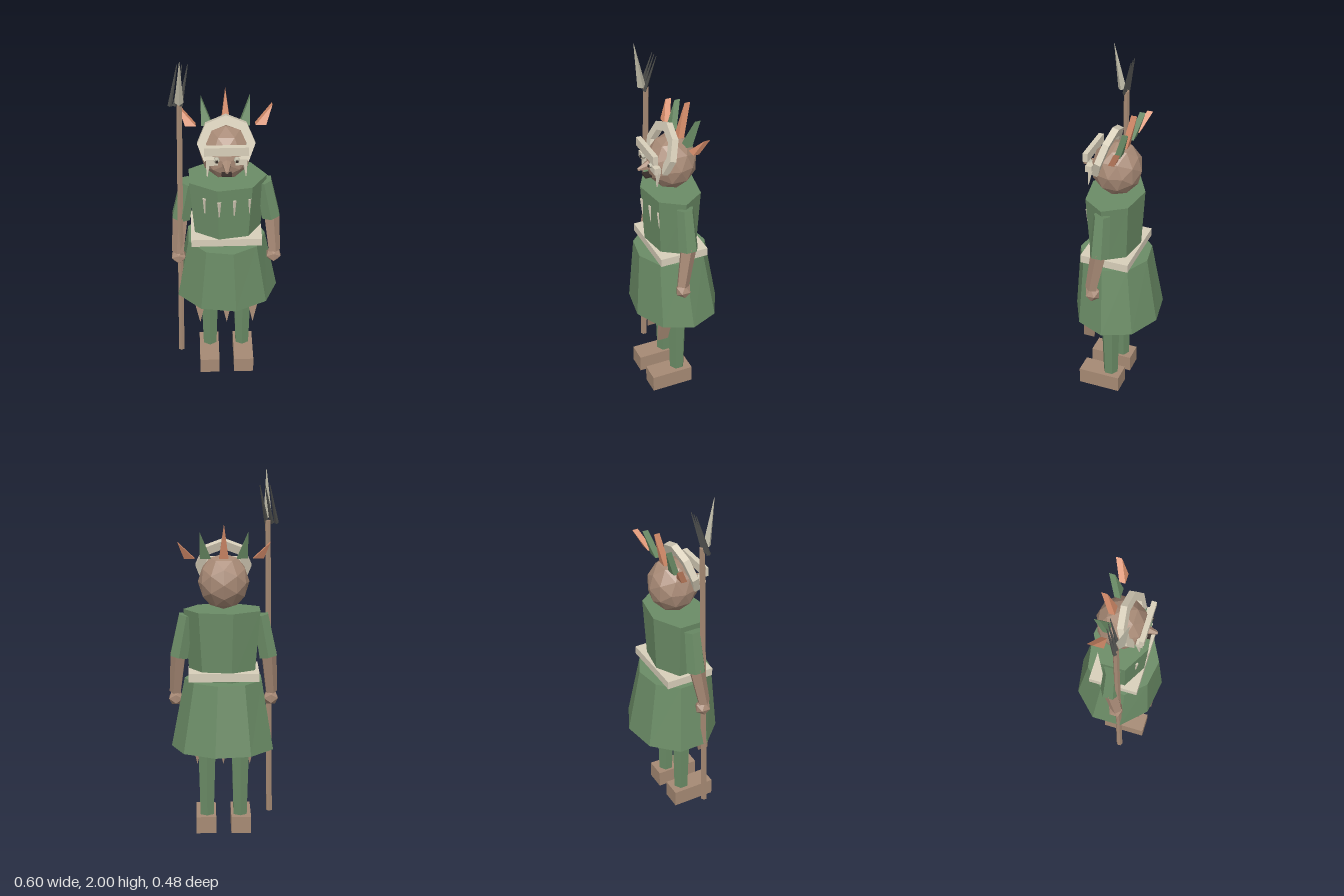
import * as THREE from 'three';

const mat = (name, color) => Object.assign(new THREE.MeshStandardMaterial({ color }), { name });

export function createModel() {
  const model = new THREE.Group();
  model.name = 'tribalGuard';
  const green = mat('clothGreen', 0x6b8c66);
  const skin = mat('skinBrown', 0xa88a76);
  const leather = mat('leatherBrown', 0xa68a74);
  const cream = mat('boneCream', 0xd8cfba);
  const orange = mat('featherOrange', 0xd98f6c);
  const iron = mat('darkIron', 0x4b4c4a);
  const blade = mat('bladeGrey', 0xbdb9a6);
  const dark = mat('mouthDark', 0x352c28);

  // Every part is faceted
  const add = (name, geo, material, pos = [0, 0, 0]) => {
    const g = geo.index ? geo.toNonIndexed() : geo;
    g.computeVertexNormals();
    const mesh = new THREE.Mesh(g, material);
    mesh.name = name;
    mesh.position.set(...pos);
    model.add(mesh);
    return mesh;
  };
  const box = (name, m, x0, x1, y0, y1, z0, z1) =>
    add(name, new THREE.BoxGeometry(x1 - x0, y1 - y0, z1 - z0), m,
      [(x0 + x1) / 2, (y0 + y1) / 2, (z0 + z1) / 2]);

  // Tapered rod from a to b
  const rod = (name, m, a, b, ra, rb, sides) => {
    const A = new THREE.Vector3(...a), B = new THREE.Vector3(...b);
    const dir = B.clone().sub(A);
    const mesh = add(name, new THREE.CylinderGeometry(rb, ra, dir.length(), sides), m,
      A.clone().add(B).multiplyScalar(0.5).toArray());
    mesh.quaternion.setFromUnitVectors(new THREE.Vector3(0, 1, 0), dir.normalize());
    return mesh;
  };

  // Triangular wedge, sheared from a level base to its tip
  const wedge = (name, m, base, tip, width, depth) => {
    const s = new THREE.Shape([
      new THREE.Vector2(base[0] - width / 2, base[1]),
      new THREE.Vector2(base[0] + width / 2, base[1]),
      new THREE.Vector2(tip[0], tip[1])]);
    const g = new THREE.ExtrudeGeometry(s, { depth, bevelEnabled: false });
    const p = g.attributes.position;
    for (let i = 0; i < p.count; i++) {
      const t = (p.getY(i) - base[1]) / (tip[1] - base[1]);
      p.setZ(i, p.getZ(i) - depth / 2 + base[2] + t * (tip[2] - base[2]));
    }
    return add(name, g, m);
  };

  // Elliptical garment section; a corner points to +x
  const garment = (name, sides, y0, y1, low, high) => {
    const g = new THREE.CylinderGeometry(1, 1, 1, sides, 1, false, Math.PI / 2);
    const p = g.attributes.position;
    for (let i = 0; i < p.count; i++) {
      const top = p.getY(i) > 0;
      const [rx, rz, cx, cz] = top ? high : low;
      p.setXYZ(i, p.getX(i) * rx + cx, top ? y1 : y0, p.getZ(i) * rz + cz);
    }
    add(name, g, green);
  };
  garment('skirt', 9, 0.5, 0.88, [0.285, 0.242, 0, 0], [0.215, 0.197, -0.003, 0.02]);
  garment('tunic', 7, 0.87, 1.262, [0.182, 0.13, 0, 0.02], [0.217, 0.153, 0, 0.02]);
  box('belt', cream, -0.19, 0.19, 0.89, 0.935, -0.118, 0.152);

  // Bone pendants on the chest
  for (const [x, z] of [[-0.115, 0.125], [-0.04, 0.163], [0.04, 0.15], [0.12, 0.135]])
    rod('chestBone', cream, [x, 1.19, z], [x, 1.09, z - 0.004], 0.011, 0.003, 4);

  // Hanging hide points below the skirt
  for (const x of [-0.148, 0, 0.145])
    wedge('hidePoint', leather, [x, 0.56, 0.105], [x, 0.355, 0.127], 0.09, 0.062);

  for (const s of [-1, 1]) {
    // Legs and feet
    rod('leg', green, [s * 0.092, 0.08, 0.018], [s * 0.092, 0.56, 0.018], 0.042, 0.057, 6);
    box('foot', leather, s * 0.097 - 0.055, s * 0.097 + 0.055, 0, 0.095, -0.05, 0.188);
    // Arms and hands
    rod('sleeve', green, [s * 0.2, 1.23, 0.02], [s * 0.242, 1.0, 0.02], 0.046, 0.055, 6);
    rod('forearm', skin, [s * 0.243, 1.02, 0.02], [s * 0.262, 0.79, 0.06], 0.045, 0.034, 5);
    add('hand', new THREE.IcosahedronGeometry(0.045, 0), skin, [s * 0.26, 0.757, 0.055]);
  }

  // Head and face
  add('head', new THREE.IcosahedronGeometry(1, 1).scale(0.138, 0.15, 0.137), skin, [0, 1.413, 0.012]);
  rod('nose', skin, [0, 1.415, 0.13], [0, 1.4, 0.2], 0.029, 0.008, 6);
  box('mouth', dark, -0.026, 0.026, 1.352, 1.36, 0.13, 0.168);
  box('browPlate', cream, -0.115, 0.113, 1.475, 1.525, 0.133, 0.16);
  for (const s of [-1, 1]) {
    box('cheekPlate', cream, s * 0.075 - 0.031, s * 0.075 + 0.031, 1.412, 1.448, 0.115, 0.15);
    add('eye', new THREE.IcosahedronGeometry(0.018, 0), blade, [s * 0.052, 1.443, 0.145]);
    add('pupil', new THREE.BoxGeometry(0.012, 0.012, 0.006), dark, [s * 0.052, 1.443, 0.162]);
    rod('cheekTusk', cream, [s * 0.094, 1.42, 0.125], [s * 0.1, 1.335, 0.135], 0.015, 0.003, 4);
  }

  // Arched headband, leaning back
  const arch = [];
  const angles = [-40, 0, 45, 90, 135, 180, 220].map(THREE.MathUtils.degToRad);
  for (const a of angles) arch.push(new THREE.Vector2(Math.cos(a) * 0.15, Math.sin(a) * 0.15));
  for (const a of angles.reverse()) arch.push(new THREE.Vector2(Math.cos(a) * 0.105, Math.sin(a) * 0.1));
  const band = add('headband', new THREE.ExtrudeGeometry(new THREE.Shape(arch),
    { depth: 0.036, bevelEnabled: false }).translate(0, 0, -0.018), cream, [0, 1.495, 0.065]);
  band.rotation.x = -0.3;

  // Feather crown
  wedge('featherCentre', orange, [0, 1.545, -0.035], [0, 1.733, -0.08], 0.05, 0.032);
  for (const s of [-1, 1]) {
    wedge('featherInner', green, [s * 0.098, 1.545, -0.035], [s * 0.127, 1.688, -0.08], 0.058, 0.032);
    wedge('featherOuter', orange, [s * 0.182, 1.545, -0.035], [s * 0.243, 1.637, -0.08], 0.056, 0.032);
  }

  // Spear with a broad blade and three prongs
  rod('spearShaft', leather, [-0.258, 0.09, 0.076], [-0.236, 1.735, 0.05], 0.018, 0.016, 6);
  rod('spearBlade', blade, [-0.237, 1.745, 0.075], [-0.23, 2.0, 0.117], 0.023, 0.001, 4);
  for (const x of [-0.283, -0.258, -0.23])
    rod('spearProng', iron, [x, 1.718, 0.06], [x + 0.04, 1.925, 0.01], 0.012, 0.002, 4);

  return model;
}
